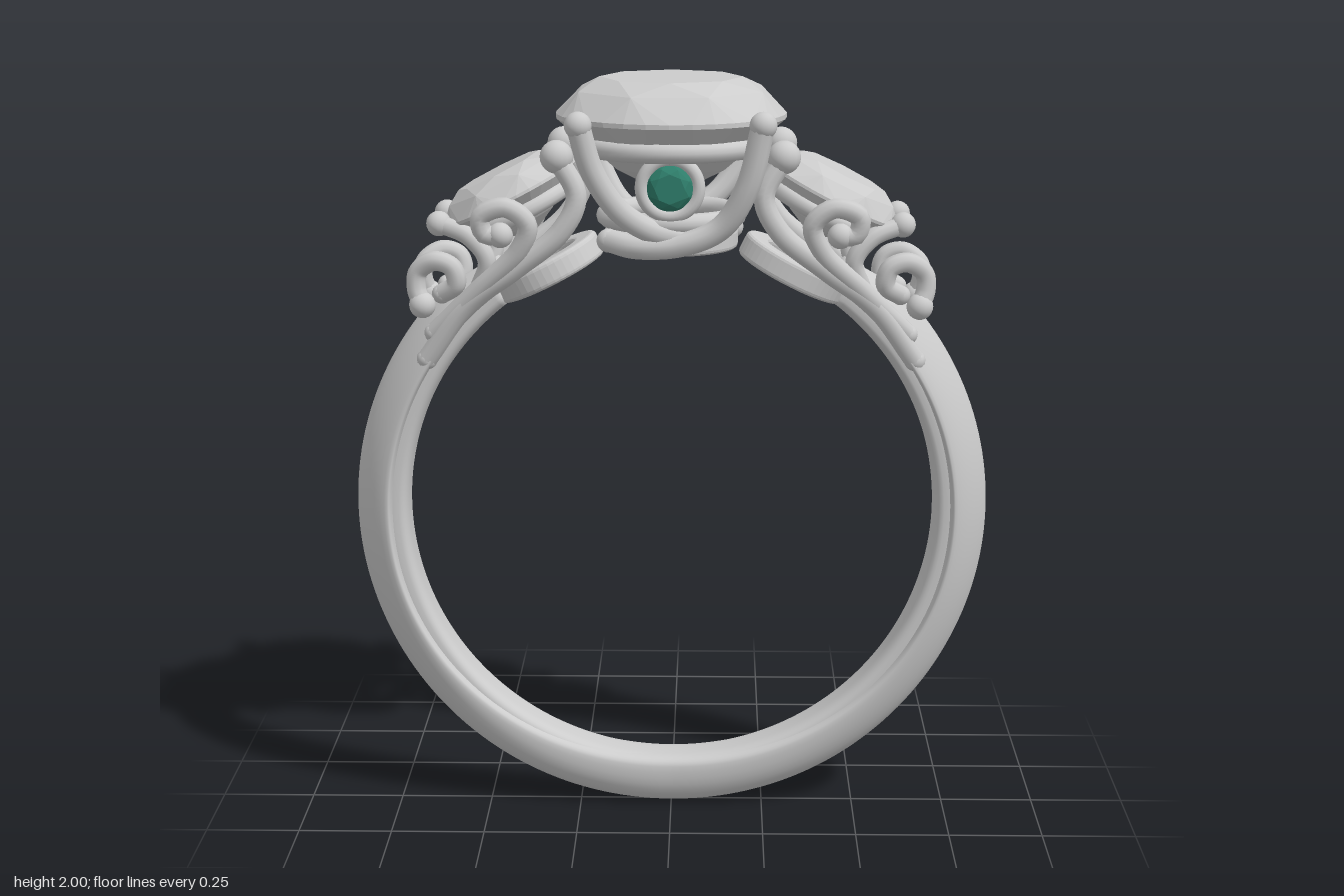
import * as THREE from 'three';
import { ConvexGeometry } from 'three/addons/geometries/ConvexGeometry.js';

const metal = new THREE.MeshStandardMaterial({ color: 0xcccccc });
const stone = new THREE.MeshStandardMaterial({ color: 0xcccccc, flatShading: true });
const green = new THREE.MeshStandardMaterial({ color: 0x2f7f6c, flatShading: true });
const CY = 0.85; // centre height of the finger hole
const { lerp, smoothstep } = THREE.MathUtils;

function add(parent, name, geometry, material = metal, x = 0, y = 0, z = 0) {
  const mesh = new THREE.Mesh(geometry, material);
  mesh.name = name;
  mesh.position.set(x, y, z);
  parent.add(mesh);
  return mesh;
}

// Section swept round the finger hole up to +-end. section(phi) gives the radius r of its
// widest line, the inner and outer reach from there, half-width w and the outer sharpness e
function sweep(end, section, rows = 160, cols = 32) {
  const pos = [], idx = [];
  const power = (v, e) => Math.sign(v) * Math.abs(v) ** e;
  for (let i = -1; i <= rows + 1; i++) {
    const phi = lerp(-end, end, Math.min(Math.max(i / rows, 0), 1));
    const s = section(Math.abs(phi));
    const k = i < 0 || i > rows ? 0 : 1; // collapsed end rows close the tips
    for (let j = 0; j < cols; j++) {
      const a = (j / cols) * Math.PI * 2, c = Math.cos(a);
      const e = c > 0 ? s.e : 0.6;
      const r = s.r + k * (c > 0 ? s.outer : s.inner) * power(c, e);
      pos.push(r * Math.sin(phi), CY - r * Math.cos(phi), k * s.w * power(Math.sin(a), e));
    }
  }
  for (let i = 0; i < rows + 2; i++) {
    for (let j = 0; j < cols; j++) {
      const a = i * cols + j, b = i * cols + ((j + 1) % cols);
      idx.push(a, a + cols, b + cols, a, b + cols, b);
    }
  }
  const g = new THREE.BufferGeometry();
  g.setAttribute('position', new THREE.Float32BufferAttribute(pos, 3));
  g.setIndex(idx);
  g.computeVertexNormals();
  return g;
}

// Faceted round stone with its girdle at y = 0
function gem(radius, crown, depth) {
  const pts = [];
  const ring = (r, y, n, turn = 0) => {
    for (let i = 0; i < n; i++) {
      const a = ((i + turn) / n) * Math.PI * 2;
      pts.push(new THREE.Vector3(r * Math.cos(a), y, r * Math.sin(a)));
    }
  };
  ring(radius * 0.62, crown, 8);
  ring(radius * 0.85, crown * 0.66, 8, 0.5);
  ring(radius, 0, 32);
  ring(radius, -radius * 0.04, 32);
  ring(radius * 0.5, -depth * 0.65, 8, 0.5);
  pts.push(new THREE.Vector3(0, -depth, 0));
  return new ConvexGeometry(pts);
}

// Flat ring lying in the xz plane, standing on y = 0
function washer(outer, inner, height) {
  const b = 0.012;
  const s = new THREE.Shape().absarc(0, 0, outer - b, 0, Math.PI * 2);
  s.holes.push(new THREE.Path().absarc(0, 0, inner + b, 0, Math.PI * 2, true));
  return new THREE.ExtrudeGeometry(s, {
    depth: height - 2 * b, bevelSize: b, bevelThickness: b, bevelSegments: 3, curveSegments: 24,
  }).rotateX(-Math.PI / 2).translate(0, b, 0);
}

const torus = (r, tube) => new THREE.TorusGeometry(r, tube, 12, 48).rotateX(Math.PI / 2);

// Wire through points, mirrored by sx and sz, with a ball on each end
function wire(parent, name, pts, sx, sz, radius, endBall) {
  const v = pts.map(([x, y, z]) => new THREE.Vector3(x * sx, y, z * sz));
  const group = new THREE.Group();
  group.name = name;
  parent.add(group);
  add(group, name + 'Wire', new THREE.TubeGeometry(new THREE.CatmullRomCurve3(v), 48, radius, 10));
  [[v[0], radius], [v[v.length - 1], endBall]].forEach(([p, r]) =>
    add(group, name + 'Tip', new THREE.SphereGeometry(r, 16, 12), metal, p.x, p.y, p.z));
}

function createModel() {
  const ring = new THREE.Group();
  ring.name = 'ring';

  // Shank: half-round at the bottom, widening to a ridged section at the shoulders
  add(ring, 'shank', sweep(2.55, (p) => {
    const rise = smoothstep(p, 0, 1.4), end = smoothstep(p, 2.3, 2.55);
    const r = lerp(0.745, 0.757, rise);
    return {
      r, inner: lerp(0.04, 0.012, rise), outer: lerp(0.848, 0.82, end) - r,
      w: lerp(0.07, 0.125, p / 2.55), e: lerp(1, 1.5, smoothstep(p, 0.3, 1.5)),
    };
  }));

  // Narrower sleeve lining the finger hole
  add(ring, 'shankSleeve', sweep(2.5, (p) => (
    { r: 0.745, inner: 0.04, outer: 0.03, w: lerp(0.064, 0.075, p / 2.5), e: 0.7 })));

  // Centre setting
  const centre = new THREE.Group();
  centre.name = 'centreSetting';
  ring.add(centre);
  add(centre, 'centreStone', gem(0.3, 0.092, 0.22), stone, 0, 1.908, 0);
  add(centre, 'centreSeat', torus(0.235, 0.027), metal, 0, 1.83, 0);
  add(centre, 'galleryRing', torus(0.17, 0.027), metal, 0, 1.64, 0);
  add(centre, 'baseRing', washer(0.175, 0.11, 0.055), metal, 0, 1.555, 0);

  for (const sz of [-1, 1]) {
    // Two prongs that cross below the accent stone
    wire(centre, 'longProng', [
      [-0.16, 1.59, 0.12], [-0.09, 1.58, 0.165], [0.03, 1.59, 0.185], [0.13, 1.635, 0.195],
      [0.195, 1.74, 0.22], [0.235, 1.9, 0.235],
    ], sz, sz, 0.031, 0.035);
    wire(centre, 'shortProng', [
      [0.04, 1.6, 0.165], [-0.05, 1.625, 0.18], [-0.13, 1.68, 0.2], [-0.195, 1.78, 0.222], [-0.23, 1.9, 0.24],
    ], sz, sz, 0.031, 0.035);

    // Small coloured stone in a tapered cup
    const accent = new THREE.Group();
    accent.name = 'accentSetting';
    accent.position.set(0, 1.735, sz * 0.18);
    accent.rotation.x = sz * Math.PI / 2;
    centre.add(accent);
    add(accent, 'accentCollar', torus(0.072, 0.018));
    add(accent, 'accentCup', new THREE.CylinderGeometry(0.085, 0.05, 0.12, 32), metal, 0, -0.065, 0);
    add(accent, 'accentStone', gem(0.062, 0.025, 0.04), green, 0, 0.006, 0);
  }

  for (const sx of [-1, 1]) {
    // Side setting, square to the finger hole
    const side = new THREE.Group();
    side.name = sx > 0 ? 'leftSetting' : 'rightSetting';
    side.position.set(sx * 0.425, 1.7, 0);
    side.rotation.z = -sx * 0.463;
    ring.add(side);
    add(side, 'sideStone', gem(0.19, 0.062, 0.13), stone);
    add(side, 'sideSeat', torus(0.145, 0.024), metal, 0, -0.05, 0);
    add(side, 'sideBaseRing', washer(0.153, 0.09, 0.065), metal, 0, -0.255, 0);

    // Scrollwork on both faces of the shoulder
    for (const sz of [-1, 1]) {
      wire(ring, 'innerProng', [
        [0.64, 1.27, 0.09], [0.53, 1.42, 0.12], [0.4, 1.52, 0.145], [0.28, 1.62, 0.16],
        [0.24, 1.71, 0.16], [0.29, 1.81, 0.15],
      ], sx, sz, 0.028, 0.043);
      wire(ring, 'archScroll', [
        [0.62, 1.34, 0.09], [0.49, 1.47, 0.135], [0.39, 1.57, 0.165], [0.365, 1.64, 0.18], [0.42, 1.685, 0.187],
        [0.485, 1.66, 0.18], [0.475, 1.615, 0.175], [0.435, 1.612, 0.175],
      ], sx, sz, 0.026, 0.033);
      wire(ring, 'outerProng', [
        [0.5, 1.46, 0.11], [0.475, 1.54, 0.13], [0.52, 1.6, 0.125], [0.6, 1.63, 0.1],
      ], sx, sz, 0.024, 0.033);
      wire(ring, 'shoulderScroll', [
        [0.6, 1.44, 0.07], [0.56, 1.47, 0.09], [0.57, 1.515, 0.095], [0.615, 1.53, 0.09],
        [0.66, 1.5, 0.075], [0.665, 1.455, 0.075], [0.65, 1.413, 0.085],
      ], sx, sz, 0.026, 0.035);
    }
  }
  return ring;
}

export { createModel };
